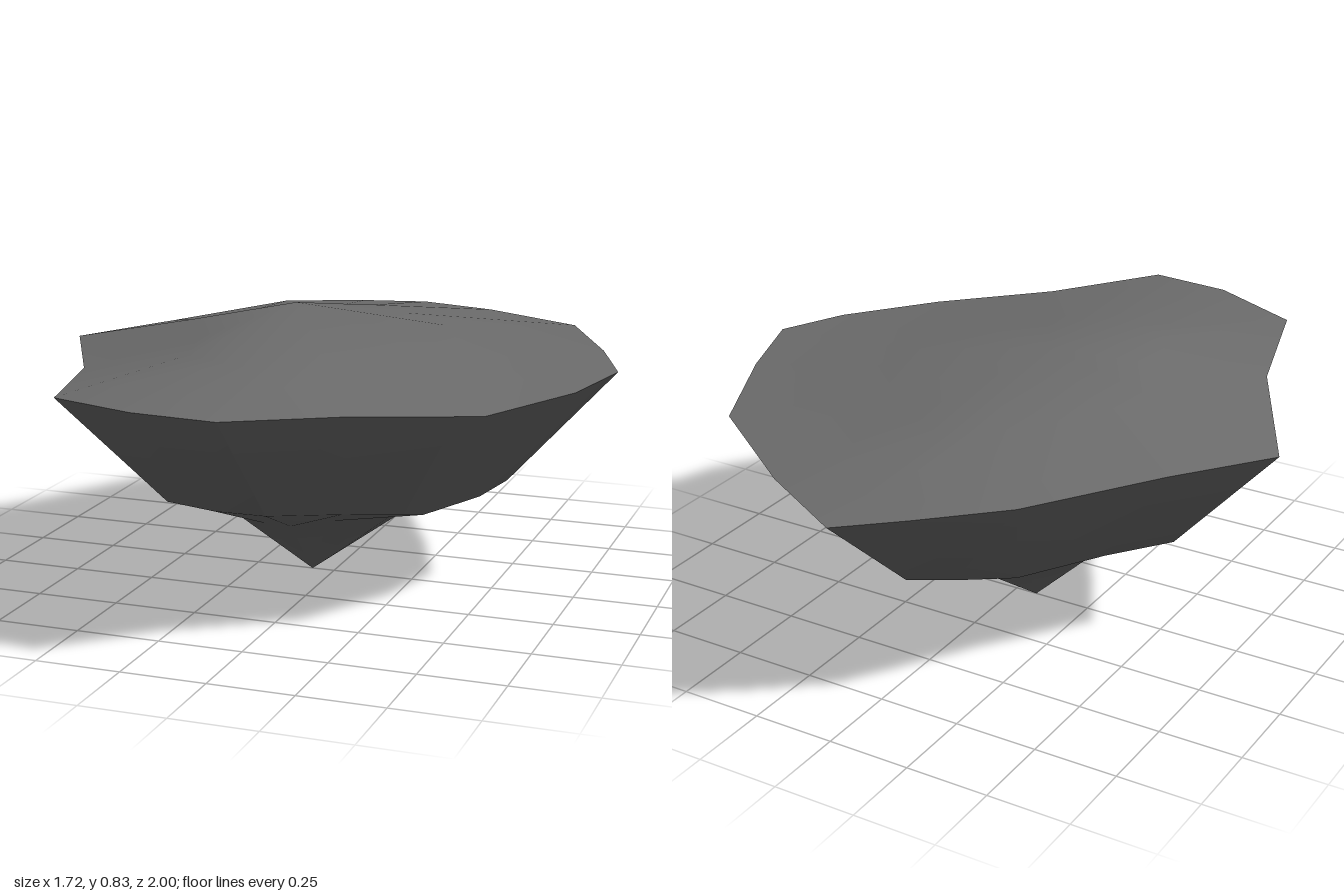
import * as THREE from 'three';
import { toCreasedNormals } from 'three/addons/utils/BufferGeometryUtils.js';

// Rim corners (x, y, z), clockwise seen from above, starting at the back
const RIM = [
  [-0.02, 0.66, -1], [0.25, 0.675, -0.86], [0.59, 0.69, -0.62], [0.76, 0.69, -0.27],
  [0.86, 0.69, 0], [0.79, 0.675, 0.23], [0.61, 0.66, 0.52], [0.3, 0.685, 0.74],
  [0.04, 0.71, 1], [-0.21, 0.71, 0.98], [-0.49, 0.7, 0.86], [-0.61, 0.685, 0.44],
  [-0.86, 0.67, -0.03], [-0.66, 0.68, -0.32], [-0.42, 0.69, -0.71], [-0.2, 0.675, -0.88],
];
// Heights of the underside's shoulder ring, one per rim corner
const SHOULDER = [0.33, 0.33, 0.32, 0.33, 0.34, 0.325, 0.31, 0.33, 0.355, 0.35, 0.34, 0.325, 0.315, 0.32, 0.32, 0.325];

// Shrunken copy of the rim, shifted in x, with its height given by a rule
const ring = (scale, dx, height) =>
  RIM.map(([x, , z], i) => [x * scale + dx, height(x * scale + dx, i), z * scale]);
const tip = (x, y) => RIM.map(() => [x, y, 0]);

// Skin a stack of rings, leaving out the collapsed triangles at the tips
function skin(rings) {
  const pos = [];
  const same = (p, q) => p.every((v, k) => v === q[k]);
  const tri = (p, q, r) => {
    if (!same(p, q) && !same(q, r) && !same(p, r)) pos.push(...p, ...q, ...r);
  };
  for (let i = 0; i < rings.length - 1; i++) {
    for (let j = 0; j < RIM.length; j++) {
      const k = (j + 1) % RIM.length;
      const a = rings[i][j], b = rings[i][k], c = rings[i + 1][j], d = rings[i + 1][k];
      tri(a, d, c);
      tri(a, b, d);
    }
  }
  const geo = new THREE.BufferGeometry();
  geo.setAttribute('position', new THREE.Float32BufferAttribute(pos, 3));
  return toCreasedNormals(geo, Math.PI / 6);
}

export function createModel() {
  const group = new THREE.Group();
  group.name = 'floatingRock';
  const stone = new THREE.MeshStandardMaterial({ color: 0x6c6c6c });
  stone.name = 'grey stone';

  const add = (name, rings) => {
    const mesh = new THREE.Mesh(skin(rings), stone);
    mesh.name = name;
    group.add(mesh);
  };

  // Low mound on top
  add('topSurface', [tip(-0.12, 0.83), ring(0.5, -0.04, (x) => 0.735 - 0.035 * x), RIM]);

  // Tapering underside: rim, shoulder, neck and pointed tip
  add('underside', [
    RIM,
    ring(0.63, 0, (x, i) => SHOULDER[i]),
    ring(0.33, -0.03, () => 0.235),
    tip(-0.07, 0),
  ]);
  return group;
}
